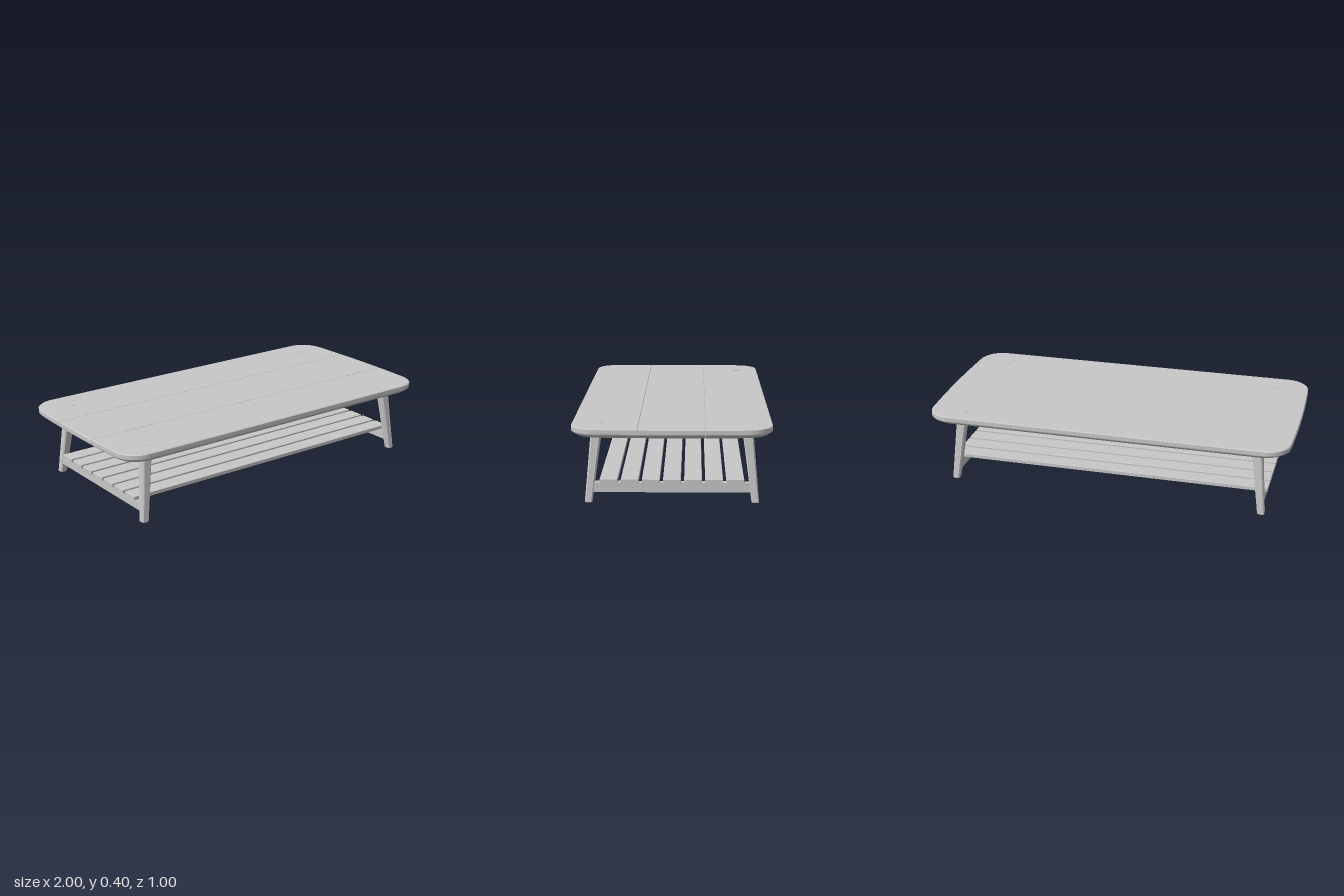
import * as THREE from 'three';

// Closed loft through equal-length rings of Vector3, wound counter-clockwise seen from above, bottom ring first
function loft(rings) {
  const pos = [];
  const tri = (a, b, c) => pos.push(...a.toArray(), ...b.toArray(), ...c.toArray());
  const n = rings[0].length;
  for (let r = 0; r < rings.length - 1; r++) {
    for (let i = 0; i < n; i++) {
      const j = (i + 1) % n, lo = rings[r], hi = rings[r + 1];
      tri(lo[i], lo[j], hi[j]);
      tri(lo[i], hi[j], hi[i]);
    }
  }
  const bottom = rings[0], top = rings[rings.length - 1];
  for (let i = 1; i < n - 1; i++) {
    tri(top[0], top[i], top[i + 1]);
    tri(bottom[0], bottom[i + 1], bottom[i]);
  }
  const g = new THREE.BufferGeometry();
  g.setAttribute('position', new THREE.Float32BufferAttribute(pos, 3));
  g.computeVertexNormals();
  return g;
}

// Half-length of the top at depth z: bowed ends and rounded corners
function halfLength(z) {
  const a = Math.abs(z), r = 0.125;
  const bow = 1 - 0.07 * Math.min(a, 0.4) ** 2;
  if (a <= 0.5 - r) return bow;
  const t = (a - (0.5 - r)) / r;
  return bow - r * (1 - Math.sqrt(Math.max(0, 1 - t * t)));
}

// One board of the top between two depths, chamfered below on its outer edges
function boardGeometry(zs) {
  const outline = [...zs.map(z => [halfLength(z), z]).reverse(), ...zs.map(z => [-halfLength(z), z])];
  const ring = (y, inset) => outline.map(([x, z]) => {
    const outer = Math.max(0, Math.abs(z) - 0.167) / 0.333;
    return new THREE.Vector3(x * (1 - inset), y, z - Math.sign(z) * outer * inset);
  });
  return loft([ring(0.354, 0.022), ring(0.37, 0.002), ring(0.375, 0), ring(0.396, 0), ring(0.4, 0.004)]);
}

// Octagonal ring: a rectangle with clipped corners
function legRing(cx, cz, y, hx, hz, c) {
  const pts = [[hx, -hz + c], [hx - c, -hz], [-hx + c, -hz], [-hx, -hz + c],
    [-hx, hz - c], [-hx + c, hz], [hx - c, hz], [hx, hz - c]];
  return pts.map(([x, z]) => new THREE.Vector3(cx + x, y, cz + z));
}

export function createModel() {
  const group = new THREE.Group();
  const wood = new THREE.MeshStandardMaterial({ color: 0xc8c8c8 });
  wood.name = 'paleGrey';
  const add = (name, geometry, x = 0, y = 0, z = 0) => {
    const m = new THREE.Mesh(geometry, wood);
    m.name = name;
    m.position.set(x, y, z);
    group.add(m);
  };

  // Three top boards with fine gaps
  const middle = Array.from({ length: 7 }, (_, i) => -0.1655 + 0.331 * i / 6);
  const front = [0.1675, 0.24, 0.31, 0.375];
  for (let i = 1; i <= 9; i++) front.push(0.375 + 0.125 * Math.sin(i / 9 * Math.PI / 2));
  add('middleBoard', boardGeometry(middle));
  add('frontBoard', boardGeometry(front));
  add('backBoard', boardGeometry(front.map(z => -z).reverse()));

  // Splayed tapered legs, ends just showing through the top
  for (const sx of [1, -1]) {
    for (const sz of [1, -1]) {
      add('leg', loft([
        legRing(sx * 0.857, sz * 0.418, 0, 0.016, 0.016, 0.005),
        legRing(sx * 0.856, sz * 0.4175, 0.004, 0.019, 0.019, 0.006),
        legRing(sx * 0.811, sz * 0.3735, 0.401, 0.029, 0.028, 0.008),
      ]));
    }
    // End rail between the legs
    add('endRail', new THREE.BoxGeometry(0.034, 0.05, 0.79), sx * 0.848, 0.077, 0);
  }

  // Shelf stretcher and slats
  add('stretcher', new THREE.BoxGeometry(1.67, 0.058, 0.044), 0, 0.073, 0);
  for (let i = -3; i <= 3; i++) {
    add('slat', loft([
      legRing(0, i * 0.1055, 0.102, 0.878, 0.0445, 0.002),
      legRing(0, i * 0.1055, 0.12, 0.878, 0.0445, 0.002),
      legRing(0, i * 0.1055, 0.122, 0.876, 0.0425, 0.002),
    ]));
  }
  return group;
}
